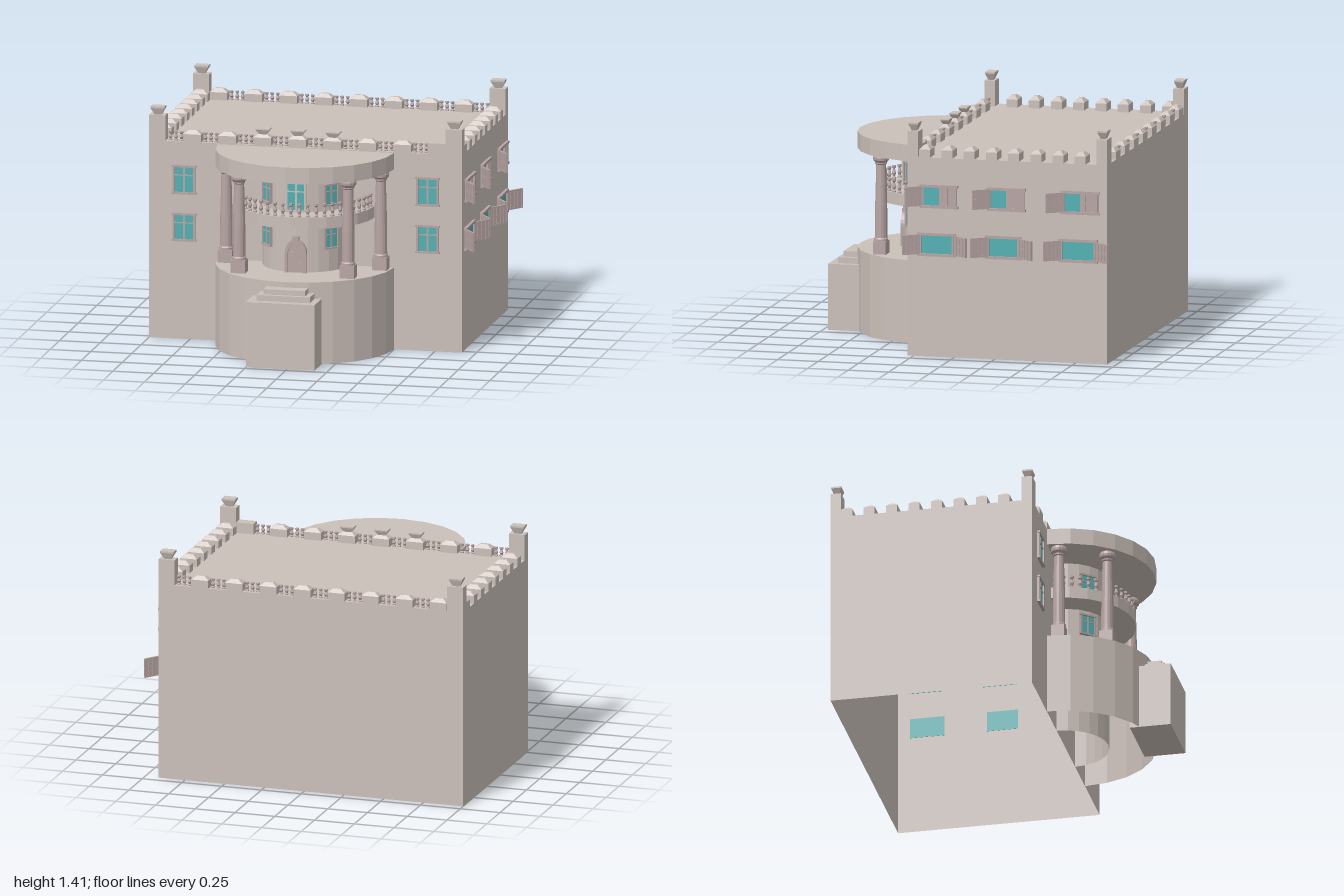
import * as THREE from 'three';

const mat = (name, color, opt = {}) => {
  const m = new THREE.MeshStandardMaterial({ color, flatShading: true, side: THREE.DoubleSide, ...opt });
  m.name = name;
  return m;
};

export function createModel() {
  const model = new THREE.Group();
  model.name = 'villa';
  const stone = mat('stone', 0xcbc0ba);
  const trim = mat('pinkTrim', 0xb8a6a4);
  const glass = mat('tealGlass', 0x52b0b3);

  const L = -1, R = 0.915, F = 0.285, B = -0.945, ROOF = 1.205; // main block limits
  const PX = -0.04; // portico axis

  const add = (name, geo, m, x = 0, y = 0, z = 0, parent = model) => {
    const mesh = new THREE.Mesh(geo, m);
    mesh.name = name;
    mesh.position.set(x, y, z);
    parent.add(mesh);
    return mesh;
  };
  const group = (name, x = 0, y = 0, z = 0, parent = model) => {
    const g = new THREE.Group();
    g.name = name;
    g.position.set(x, y, z);
    parent.add(g);
    return g;
  };
  // box given by its limits
  const block = (name, m, x0, x1, y0, y1, z0, z1, parent = model) =>
    add(name, new THREE.BoxGeometry(x1 - x0, y1 - y0, z1 - z0), m, (x0 + x1) / 2, (y0 + y1) / 2, (z0 + z1) / 2, parent);
  // box standing on y = 0 whose top is scaled by sx, sz
  const frustum = (w, h, d, sx, sz = sx) => {
    const g = new THREE.BoxGeometry(w, h, d).translate(0, h / 2, 0);
    const p = g.attributes.position;
    for (let i = 0; i < p.count; i++)
      if (p.getY(i) > h / 2) p.setXYZ(i, p.getX(i) * sx, h, p.getZ(i) * sz);
    g.computeVertexNormals();
    return g;
  };
  // half drum bulging to the front
  const halfDrum = (name, r, y0, y1, open = false) =>
    add(name, new THREE.CylinderGeometry(r, r, y1 - y0, 12, 1, open, -Math.PI / 2, Math.PI), stone, PX, (y0 + y1) / 2, F);

  // main block, open underneath
  const walls = block('walls', stone, L, R, 0, ROOF, B, F);
  walls.geometry.setIndex([...walls.geometry.index.array].filter((_, i) => i < 18 || i >= 24));

  // corner towers with flared finials
  const TW = 0.1, TD = 0.065;
  const finial = (x, y, z, w, d, h) => {
    add('finial', frustum(w * 0.5, h * 0.8, d * 0.5, 2), stone, x, y, z);
    add('finialCap', new THREE.BoxGeometry(w, h * 0.2, d), stone, x, y + h * 0.9, z);
  };
  for (const x of [L + TW / 2, R - TW / 2])
    for (const z of [F - TD / 2, B + TD / 2]) {
      add('cornerTower', new THREE.BoxGeometry(TW, 0.165, TD), stone, x, 1.2775, z);
      finial(x, 1.36, z, 0.085, 0.06, 0.05);
    }

  // battlements
  const merlon = (x, z, w, d) => {
    const g = group('merlon', x, 1.2, z);
    add('merlonBlock', new THREE.BoxGeometry(w, 0.052, d), stone, 0, 0.026, 0, g);
    add('merlonCap', frustum(w, 0.022, d, 0.45, 0.35), stone, 0, 0.052, 0, g);
  };
  const balusterGeo = new THREE.LatheGeometry(
    [[0.012, 0], [0.012, 0.1], [0.007, 0.2], [0.013, 0.42], [0.006, 0.75], [0.012, 0.85], [0.012, 1], [0, 1]]
      .map(([r, y]) => new THREE.Vector2(r, y)), 8);
  const baluster = (x, y, z, h) => { add('baluster', balusterGeo, trim, x, y, z).scale.y = h; };
  const STEP = 0.2142;
  for (let i = 0; i < 8; i++) {
    const xb = -0.843 + i * STEP, xf = xb + STEP / 2;
    merlon(xb, B + TD / 2, 0.107, TD);
    if (i < 7) merlon(xf, F - TD / 2, 0.107, TD);
    if (i > 1 && i < 5) finial(xf, 1.268, F - TD / 2, 0.085, 0.055, 0.037);
    for (const k of [-1, 0, 1]) {
      baluster(xb + k * 0.034, ROOF, F - TD / 2, 0.055);
      baluster(xf + k * 0.034, ROOF, B + TD / 2, 0.055);
    }
    merlon(L + 0.0525, 0.113 - i * 0.137, 0.105, 0.068);
    merlon(R - 0.0525, 0.18 - i * 0.137, 0.105, 0.068);
  }
  block('parapetEnd', stone, 0.705, R - TW, 1.2, 1.27, F - TD, F);

  // portico: base, entrance drum, balcony, canopy
  halfDrum('porticoBase', 0.54, 0, 0.5, true);
  const floor = add('porticoFloor', new THREE.CircleGeometry(0.54, 12, Math.PI, Math.PI), stone, PX, 0.5, F);
  floor.rotation.x = -Math.PI / 2;
  halfDrum('entranceDrum', 0.26, 0, 1.1, true);
  halfDrum('balcony', 0.42, 0.8, 0.87);
  add('canopy', new THREE.CylinderGeometry(0.54, 0.54, 0.1, 24), stone, PX, 1.15, F);
  for (let i = 0; i < 25; i++) {
    const a = (i / 24 - 0.5) * Math.PI * 0.97;
    baluster(PX + 0.4 * Math.sin(a), 0.87, F + 0.4 * Math.cos(a), 0.08);
  }

  // columns
  const columnGeo = new THREE.LatheGeometry(
    [[0.043, 0], [0.043, 0.012], [0.038, 0.02], [0.037, 0.2], [0.03, 0.462], [0.036, 0.468], [0.036, 0.476],
      [0.048, 0.49], [0.05, 0.505], [0.045, 0.522]].map(([r, y]) => new THREE.Vector2(r, y)), 14);
  for (const s of [-1, 1])
    for (const [dx, z] of [[0.473, 0.345], [0.334, 0.61]]) {
      const g = group('column', PX + s * dx, 0.5, z);
      add('plinth', new THREE.BoxGeometry(0.09, 0.078, 0.08), trim, 0, 0.039, 0, g);
      add('shaft', columnGeo, trim, 0, 0.078, 0, g);
    }

  // front block and steps
  block('frontBlock', stone, -0.25, 0.17, 0, 0.4, 0.72, 0.97);
  block('lowerStep', stone, -0.195, 0.13, 0.4, 0.435, 0.72, 0.92);
  block('upperStep', stone, -0.16, 0.095, 0.435, 0.467, 0.72, 0.895);

  // window in the local xy plane, facing +z
  const windowUnit = (name, w, h, x, y, z, { ry = 0, bars = true, frame = trim } = {}) => {
    const g = group(name, x, y, z);
    g.rotation.y = ry;
    const t = Math.min(0.016, w * 0.1);
    add('pane', new THREE.BoxGeometry(w, h, 0.008), glass, 0, 0, 0.002, g);
    for (const s of [-1, 1]) {
      block('jamb', frame, s * (w / 2) - t / 2, s * (w / 2) + t / 2, -h / 2, h / 2, 0, 0.014, g);
      block('ledge', frame, -w / 2 - t, w / 2 + t, s * (h / 2) - t / 2, s * (h / 2) + t / 2, 0, 0.018, g);
    }
    if (bars) {
      block('mullion', frame, -t / 2, t / 2, -h / 2, h / 2, 0, 0.011, g);
      block('transom', frame, -w / 2, w / 2, h * 0.14, h * 0.14 + t * 0.6, 0, 0.011, g);
    }
    return g;
  };
  for (const [y, h] of [[0.685, 0.16], [0.975, 0.165]])
    for (const x of [-0.785, 0.707]) windowUnit('frontWindow', 0.125, h, x, y, F);
  for (const y of [0.705, 0.968])
    for (const s of [-1, 1]) {
      const a = s * 0.84;
      windowUnit('drumWindow', 0.095, 0.125, PX + 0.258 * Math.sin(a), y, F + 0.258 * Math.cos(a), { ry: a });
    }
  windowUnit('balconyDoor', 0.115, 0.18, PX, 0.965, F + 0.257, { frame: stone });

  // slatted shutter from local x = 0 towards s
  const shutter = (parent, w, h, x, s, angle) => {
    const g = group('shutter', x, 0, 0.008, parent);
    g.rotation.y = -s * angle;
    add('shutterPanel', new THREE.BoxGeometry(w, h, 0.006), trim, s * w / 2, 0, 0, g);
    for (let i = 0; i < 5; i++)
      add('slat', new THREE.BoxGeometry(0.009, h, 0.014), trim, s * (0.005 + (w - 0.01) * i / 4), 0, 0, g);
    for (const k of [-0.46, 0, 0.46])
      add('rail', new THREE.BoxGeometry(w, 0.01, 0.012), trim, s * w / 2, k * h, 0, g);
  };
  // side windows: lower ones with both shutters open, upper ones with one closed
  for (const [z, w] of [[0.105, 0.205], [-0.307, 0.19], [-0.767, 0.21]]) {
    const g = windowUnit('lowerSideWindow', w, 0.125, R, 0.68, z, { ry: Math.PI / 2, bars: false });
    for (const s of [-1, 1]) shutter(g, s < 0 ? 0.112 : 0.122, 0.118, s * w / 2, s, 0.64);
  }
  for (const z of [0.09, -0.325, -0.78]) {
    const g = windowUnit('upperSideWindow', 0.205, 0.125, R, 0.972, z, { ry: Math.PI / 2, bars: false });
    shutter(g, 0.112, 0.118, -0.1025, -1, 0.64);
    shutter(g, 0.102, 0.118, 0.1025, -1, 0);
  }

  // arched entrance door with surround and crest
  const arch = (w, h, Type = THREE.Shape) => {
    const s = new Type();
    s.moveTo(-w, 0).lineTo(w, 0).lineTo(w, h * 0.55);
    s.quadraticCurveTo(w * 0.95, h * 0.9, 0, h).quadraticCurveTo(-w * 0.95, h * 0.9, -w, h * 0.55);
    return s;
  };
  const door = group('door', PX, 0.5, F + 0.25);
  const surround = arch(0.066, 0.21);
  surround.holes.push(arch(0.05, 0.185, THREE.Path));
  const ext = (depth) => ({ depth, bevelEnabled: false, curveSegments: 6 });
  add('doorSurround', new THREE.ExtrudeGeometry(surround, ext(0.026)), trim, 0, 0, 0, door);
  add('doorLeaf', new THREE.ExtrudeGeometry(arch(0.052, 0.187), ext(0.014)), trim, 0, 0, 0, door);
  block('doorCrest', trim, -0.02, 0.02, 0.195, 0.222, 0, 0.028, door);
  block('doorSeam', trim, -0.004, 0.004, 0, 0.18, 0, 0.02, door);
  for (const s of [-1, 1])
    for (const y of [0.04, 0.105])
      add('doorPanel', new THREE.BoxGeometry(0.028, 0.048, 0.006), trim, s * 0.026, y, 0.016, door);

  return model;
}
